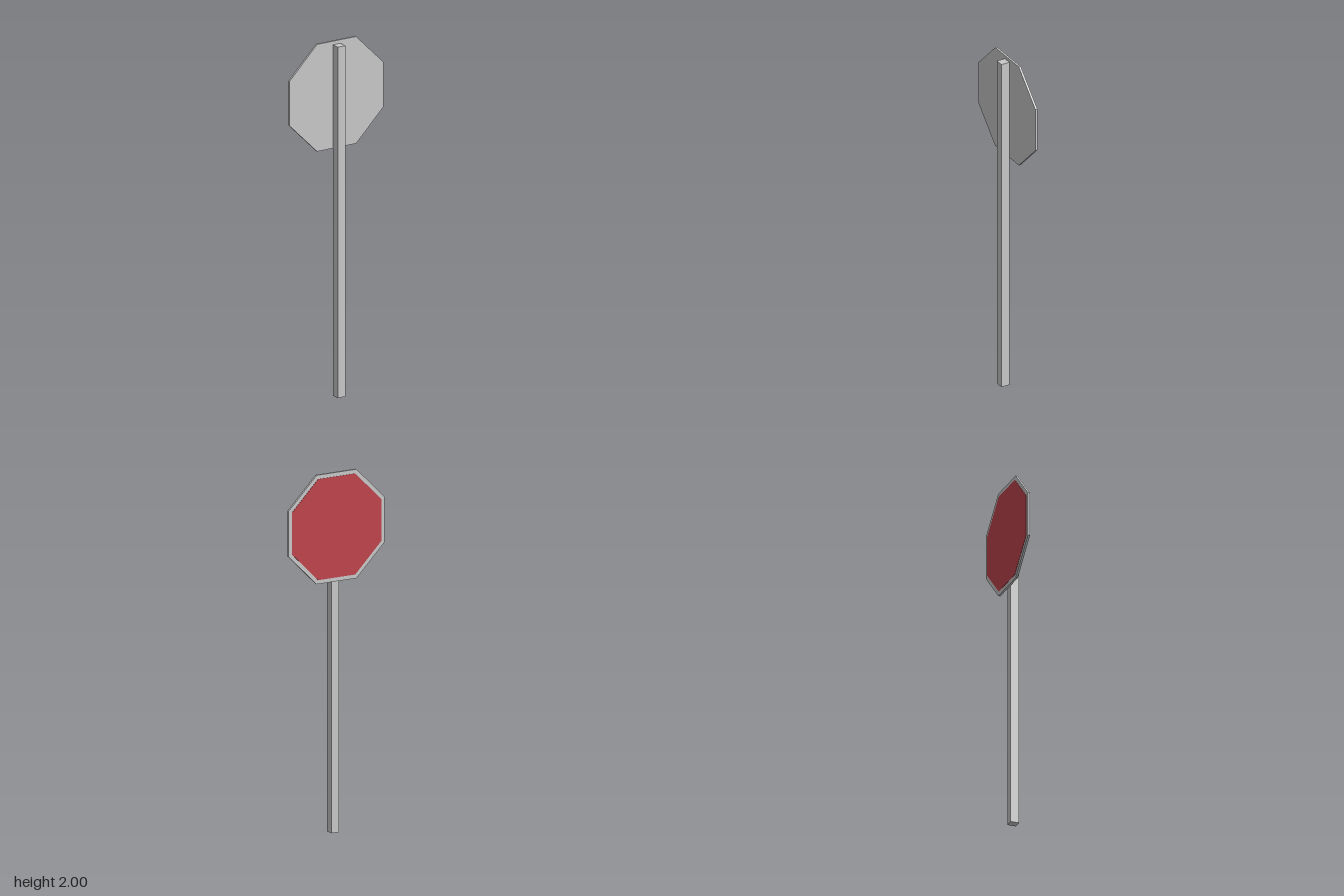
import * as THREE from 'three';

// Flat-sided octagonal plate, facing along z, between two z positions
function octagonPlate(inradius, zMin, zMax, y, material, name) {
  const radius = inradius / Math.cos(Math.PI / 8);
  const corners = [];
  for (let i = 0; i < 8; i++) {
    const a = Math.PI / 8 + (i * Math.PI) / 4;
    corners.push(new THREE.Vector2(radius * Math.cos(a), radius * Math.sin(a)));
  }
  const geometry = new THREE.ExtrudeGeometry(new THREE.Shape(corners), {
    depth: zMax - zMin,
    bevelEnabled: false,
  });
  const mesh = new THREE.Mesh(geometry, material);
  mesh.position.set(0, y, zMin);
  mesh.name = name;
  return mesh;
}

export function createModel() {
  const metal = new THREE.MeshStandardMaterial({ color: 0xc8c8c8 });
  metal.name = 'grey metal';
  const red = new THREE.MeshStandardMaterial({ color: 0xbf444c });
  red.name = 'sign red';

  const group = new THREE.Group();
  group.name = 'roadSign';

  // Square post standing on the ground
  const post = new THREE.Mesh(new THREE.BoxGeometry(0.048, 1.98, 0.049), metal);
  post.position.set(0, 0.99, 0.0065);
  post.name = 'post';
  group.add(post);

  // Backing plate, with the red face slightly raised on it
  const centreY = 1.698;
  group.add(octagonPlate(0.302, -0.03, -0.018, centreY, metal, 'signPlate'));
  group.add(octagonPlate(0.28, -0.0315, -0.03, centreY, red, 'signFace'));

  return group;
}
